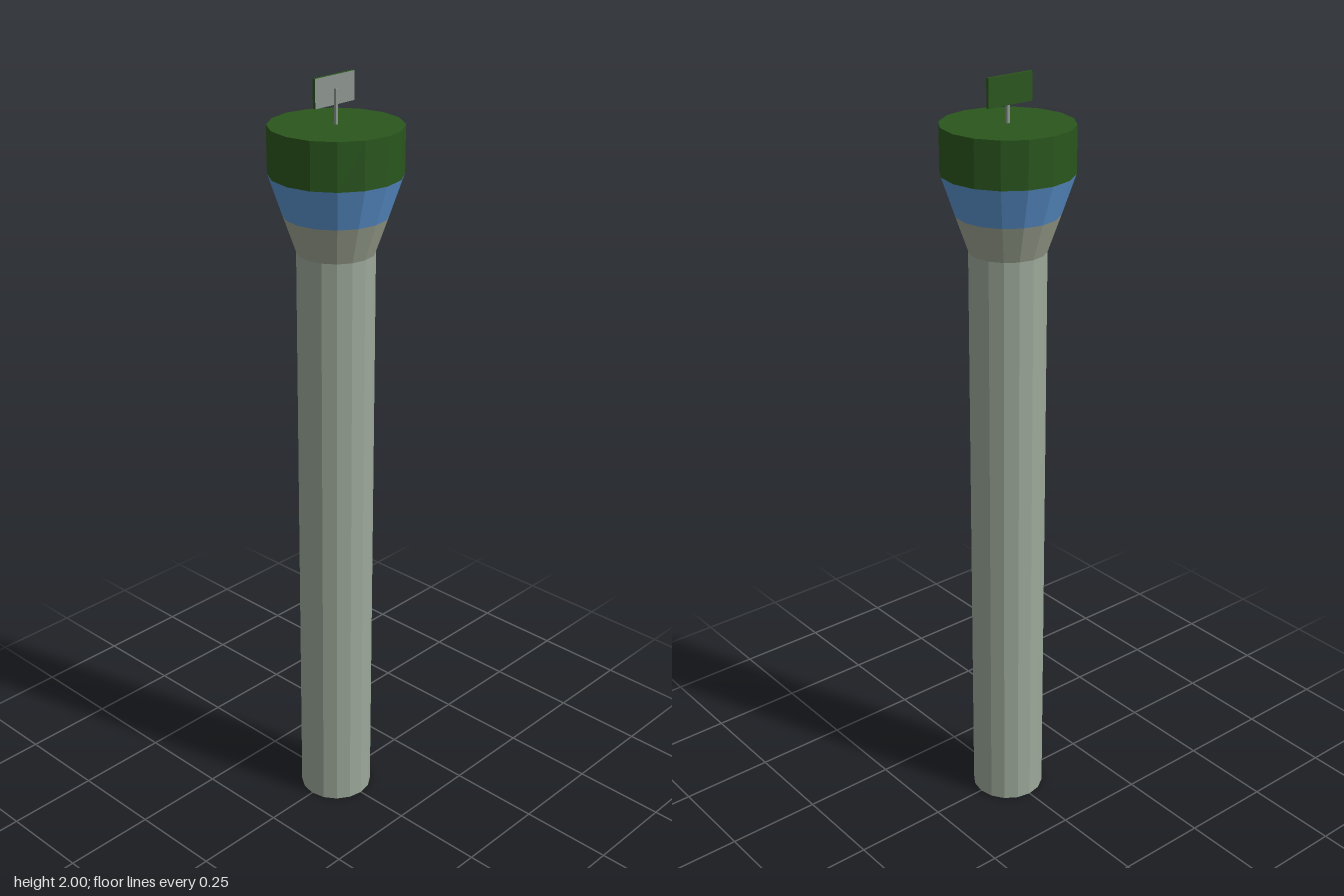
import * as THREE from 'three';

const SIDES = 16;
const paint = (color) => new THREE.MeshStandardMaterial({ color, flatShading: true });

export function createModel() {
  const model = new THREE.Group();
  const stone = paint(0x9ca899);
  const flare = paint(0x9ca391);
  const glass = paint(0x5b93cf);
  const green = paint(0x2a561d);
  const grey = paint(0x8c948f);

  const add = (name, geometry, material, x, y, z) => {
    const mesh = new THREE.Mesh(geometry, material);
    mesh.name = name;
    mesh.position.set(x, y, z);
    model.add(mesh);
  };

  // Faceted tower section between two heights
  const section = (name, y0, y1, r0, r1, material, open) =>
    add(name, new THREE.CylinderGeometry(r1, r0, y1 - y0, SIDES, 1, open), material, 0, (y0 + y1) / 2, 0);

  // Shaft, flared neck, window band and roof drum
  section('shaft', 0, 1.574, 0.097, 0.097, stone, false);
  section('flaredNeck', 1.574, 1.668, 0.097, 0.13, flare, true);
  section('windowBand', 1.668, 1.768, 0.13, 0.164, glass, true);
  section('roofDrum', 1.768, 1.885, 0.164, 0.164, green, false);

  // Thin mast standing on the roof
  add('mast', new THREE.BoxGeometry(0.007, 0.085, 0.007), grey, 0, 1.9265, 0);

  // Panel beside the mast, grey on its left face only
  add('panel', new THREE.BoxGeometry(0.008, 0.07, 0.132),
    [grey, green, green, green, green, green], -0.008, 1.965, -0.001);

  return model;
}
